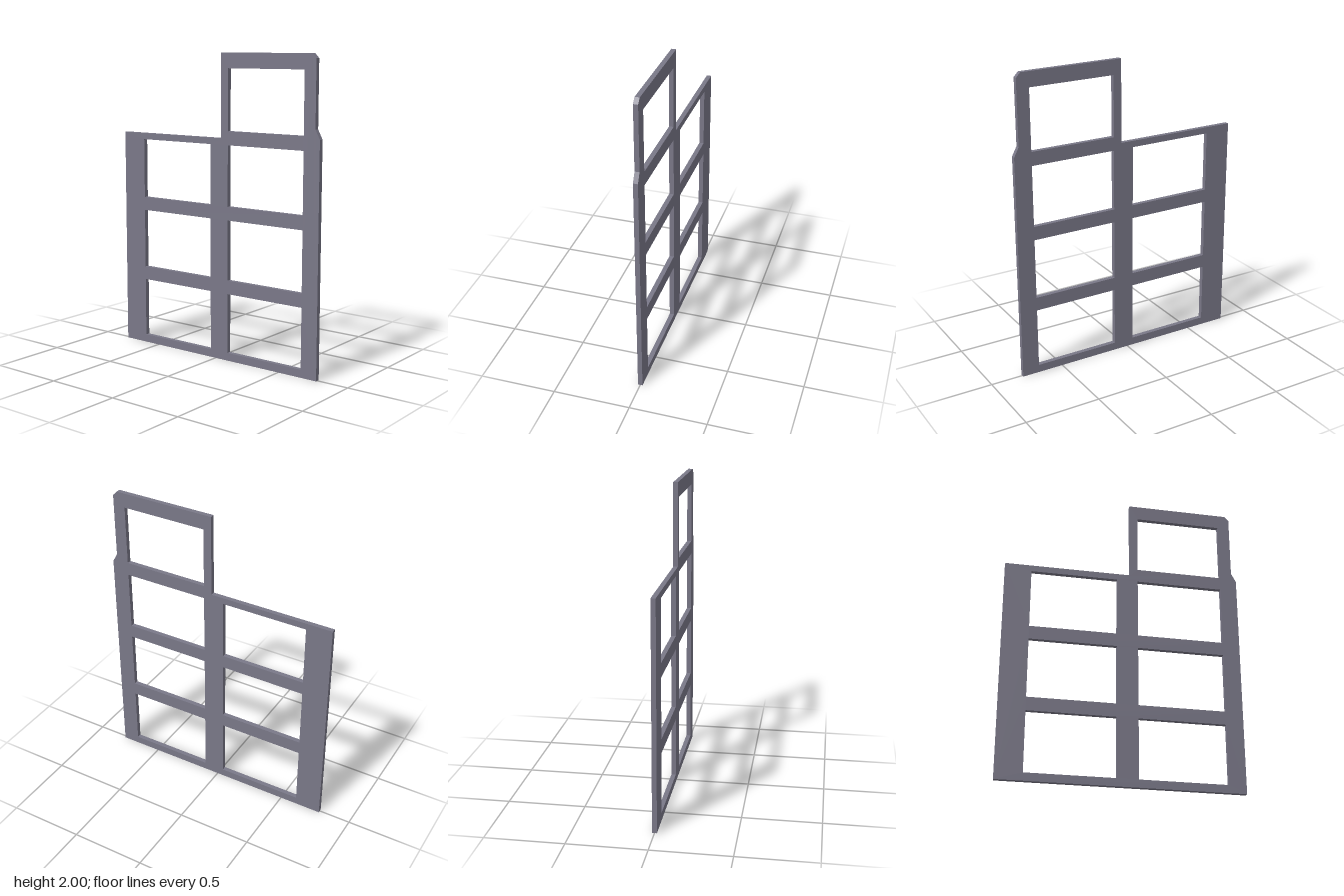
import * as THREE from 'three';

const THICKNESS = 0.03;

// Rectangular opening given by its lower left corner and size
function opening(x, y, w, h) {
  return new THREE.Path([
    new THREE.Vector2(x, y),
    new THREE.Vector2(x, y + h),
    new THREE.Vector2(x + w, y + h),
    new THREE.Vector2(x + w, y),
  ]);
}

export function createModel() {
  const group = new THREE.Group();
  group.name = 'windowPanel';

  // Stepped outline with a clipped corner and a slanted shoulder
  const outline = [
    [-0.786, 0], [0.784, 0], [0.784, 1.49], [0.752, 1.55], [0.752, 1.97],
    [0.723, 2], [0.044, 2], [0.044, 1.46], [-0.786, 1.46],
  ];
  const shape = new THREE.Shape(outline.map(([x, y]) => new THREE.Vector2(x, y)));

  // Openings: three in the short column, four in the tall one
  const columns = [{ x: -0.613, count: 3 }, { x: 0.098, count: 4 }];
  for (const { x, count } of columns) {
    for (let i = 0; i < count; i++) {
      shape.holes.push(opening(x, 0.052 + i * 0.485, 0.572, 0.396));
    }
  }

  const geometry = new THREE.ExtrudeGeometry(shape, { depth: THICKNESS, bevelEnabled: false });
  geometry.translate(0, 0, -THICKNESS / 2);
  const frame = new THREE.Mesh(geometry, new THREE.MeshStandardMaterial({ color: 0x7a7888 }));
  frame.name = 'frame';
  group.add(frame);
  return group;
}
